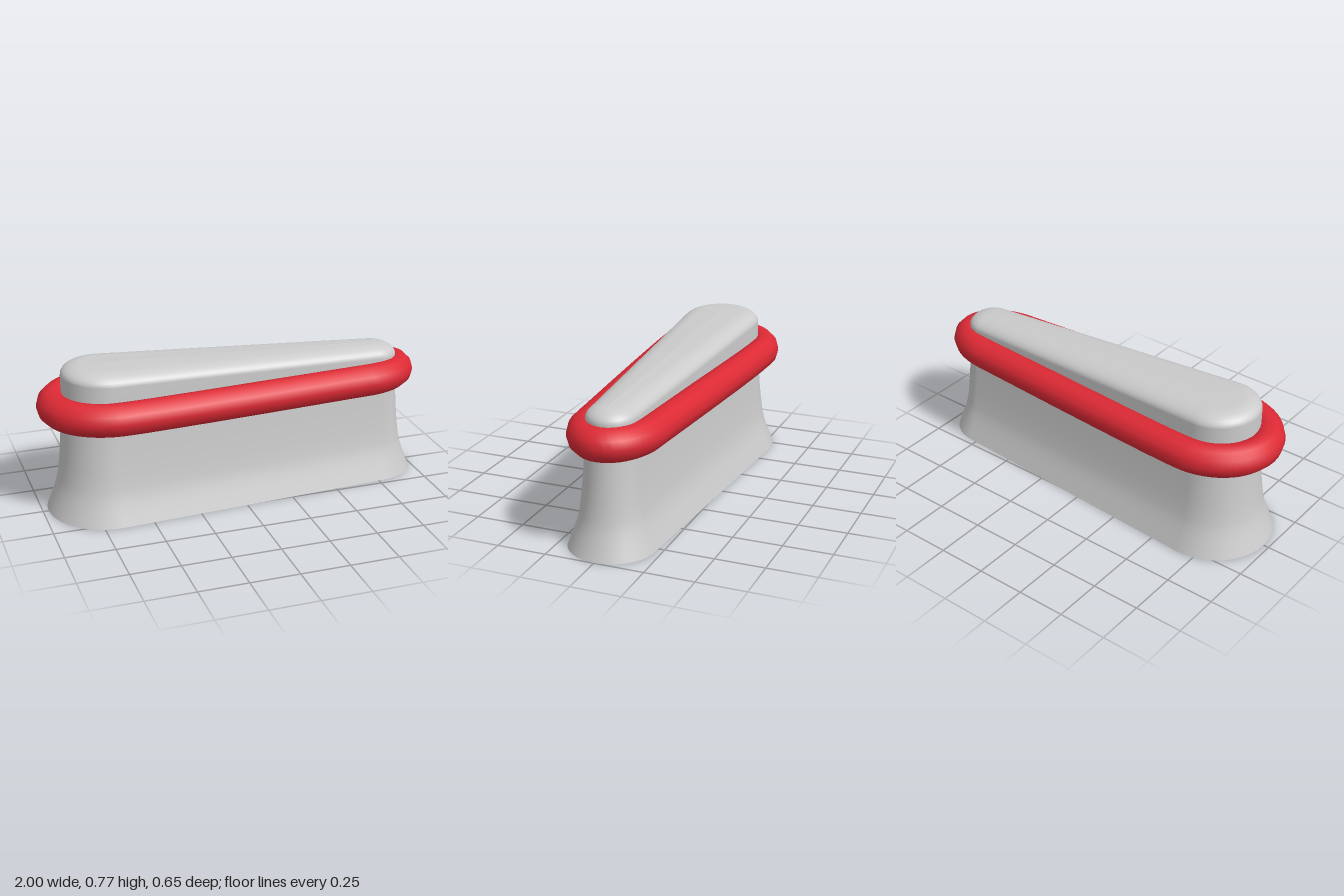
import * as THREE from 'three';

const BIG = { x: -0.67, r: 0.205 };
const SMALL = { x: 0.78, r: 0.12 };
const ARC = 20; // segments per rounded end

// Tapered stadium outline: a small round end and a large one joined by tangents
function outline() {
  const half = Math.acos((BIG.r - SMALL.r) / (SMALL.x - BIG.x));
  const pts = [];
  for (let i = 0; i <= ARC; i++) pts.push({ end: SMALL, a: -half + (2 * half * i) / ARC });
  for (let i = 0; i <= ARC; i++) pts.push({ end: BIG, a: half + (2 * (Math.PI - half) * i) / ARC });
  return pts;
}

const topY = (x) => 0.7375 - 0.0406 * x;

// Flared column with a rounded, sloping top
function bodyGeometry() {
  const pts = outline();
  const n = pts.length;
  const pos = [];
  const index = [];
  let rings = 0;
  const addRing = (offset, yOf) => {
    for (const { end, a } of pts) {
      const r = Math.max(end.r + offset, 0);
      const x = end.x + r * Math.cos(a);
      pos.push(x, yOf(x), r * Math.sin(a));
    }
    rings++;
  };

  // Concave flare of the wall
  const wall = [[0.097, 0], [0.08, 0.045], [0.063, 0.09], [0.048, 0.135], [0.037, 0.18],
    [0.026, 0.26], [0.017, 0.35], [0.009, 0.45], [0.003, 0.55], [0, 0.62]];
  for (const [offset, y] of wall) addRing(offset, () => y);

  // Soft shoulder following the slope, then closing on the ridge line
  for (let i = 0; i <= 8; i++) {
    const t = (i / 8) * Math.PI / 2;
    addRing(-0.1 * (1 - Math.cos(t)), (x) => topY(x) - 0.06 + 0.057 * Math.sin(t));
  }
  addRing(-1, topY);

  for (let i = 0; i < rings - 1; i++) {
    for (let j = 0; j < n; j++) {
      const k = (j + 1) % n;
      const a = i * n + j, b = i * n + k, c = a + n, d = b + n;
      index.push(a, c, b, b, c, d);
    }
  }
  const geo = new THREE.BufferGeometry();
  geo.setAttribute('position', new THREE.Float32BufferAttribute(pos, 3));
  geo.setIndex(index);
  geo.computeVertexNormals();
  return geo;
}

// Flat underside
function footGeometry() {
  const shape = new THREE.Shape(outline().map(({ end, a }) => new THREE.Vector2(
    end.x + (end.r + 0.097) * Math.cos(a), (end.r + 0.097) * Math.sin(a))));
  return new THREE.ShapeGeometry(shape).rotateX(Math.PI / 2);
}

// Round band wrapped about the column, with elliptical ends
function bandGeometry() {
  const y = 0.556;
  const path = [];
  const addEnd = (cx, rx, rz, start) => {
    for (let i = 0; i <= 12; i++) {
      const a = start + (i / 12) * Math.PI;
      path.push(new THREE.Vector3(cx + rx * Math.cos(a), y, rz * Math.sin(a)));
    }
  };
  addEnd(0.65, 0.265, 0.16, -Math.PI / 2);
  addEnd(-0.63, 0.288, 0.245, Math.PI / 2);
  const curve = new THREE.CatmullRomCurve3(path, true, 'centripetal');
  return new THREE.TubeGeometry(curve, 160, 0.082, 12, true);
}

export function createModel() {
  const group = new THREE.Group();
  const grey = new THREE.MeshStandardMaterial({ color: 0xcccccc });
  const red = new THREE.MeshStandardMaterial({ color: 0xdd2a35 });
  const add = (name, geometry, material) => {
    const mesh = new THREE.Mesh(geometry, material);
    mesh.name = name;
    group.add(mesh);
  };
  add('body', bodyGeometry(), grey);
  add('underside', footGeometry(), grey);
  add('band', bandGeometry(), red);
  return group;
}
